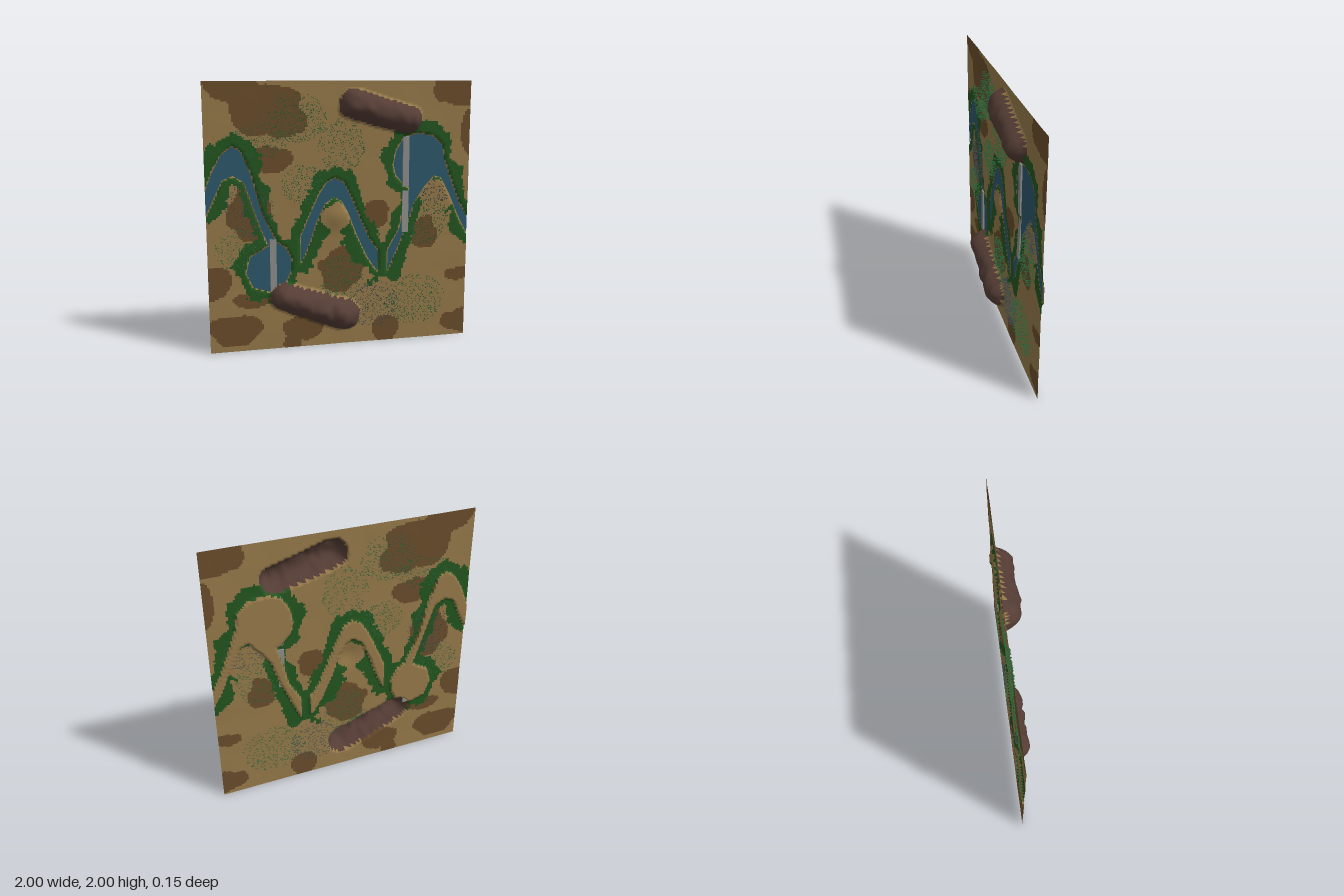
import * as THREE from 'three';
import { mergeGeometries } from 'three/addons/utils/BufferGeometryUtils.js';

const N = 140;            // terrain cells per side
const GROUND = -0.06, BED = -0.074, WATER = -0.063;

// River outlines (x, y), one smooth closed loop each
const rivers = [
  [[-1, 1.22], [-0.95, 1.35], [-0.88, 1.48], [-0.8, 1.54], [-0.74, 1.5], [-0.68, 1.35], [-0.6, 1.05], [-0.5, 0.83],
    [-0.43, 0.78], [-0.385, 0.7], [-0.39, 0.6], [-0.44, 0.5], [-0.55, 0.45], [-0.67, 0.49], [-0.72, 0.6], [-0.69, 0.72],
    [-0.55, 0.8], [-0.6, 0.92], [-0.66, 1.1], [-0.72, 1.28], [-0.8, 1.33], [-0.88, 1.3], [-0.95, 1.15], [-1, 1.05]],
  [[-0.31, 0.86], [-0.25, 1], [-0.17, 1.17], [-0.11, 1.26], [-0.05, 1.29], [0.02, 1.25], [0.08, 1.12], [0.14, 0.98],
    [0.21, 0.82], [0.28, 0.72], [0.28, 0.56], [0.2, 0.68], [0.12, 0.85], [0.05, 1.03], [0, 1.12], [-0.06, 1.15],
    [-0.13, 1.1], [-0.2, 0.95], [-0.25, 0.8], [-0.31, 0.66]],
  [[0.36, 0.56], [0.36, 0.72], [0.45, 0.88], [0.5, 1.1], [0.53, 1.2], [0.48, 1.23], [0.42, 1.3], [0.4, 1.38], [0.42, 1.48],
    [0.48, 1.58], [0.58, 1.61], [0.7, 1.59], [0.78, 1.52], [0.8, 1.4], [0.86, 1.24], [0.93, 1.07], [1, 0.95], [1, 0.83],
    [0.92, 0.98], [0.85, 1.14], [0.78, 1.27], [0.72, 1.29], [0.64, 1.2], [0.56, 1.08], [0.51, 0.92], [0.46, 0.8]],
];
// Rock ridges: two ends, radius at each end, height
const ridges = [
  { a: [0.09, 1.835], b: [0.5, 1.715], ra: 0.11, rb: 0.108, h: 0.125 },
  { a: [-0.44, 0.405], b: [0.02, 0.235], ra: 0.105, rb: 0.12, h: 0.128 },
];
// Brown soil patches: x, y, half width, half height
const patches = [
  [-0.55, 1.77, 0.28, 0.19], [-0.8, 1.95, 0.2, 0.1], [0.9, 1.93, 0.17, 0.12], [0.98, 1.62, 0.06, 0.15], [-0.55, 1.44, 0.18, 0.1],
  [-0.7, 1.05, 0.16, 0.2], [0.27, 1.02, 0.1, 0.1], [0, 0.6, 0.16, 0.2], [-0.95, 0.53, 0.13, 0.12], [-0.82, 0.17, 0.2, 0.12],
  [-0.7, 0.4, 0.16, 0.06], [-0.3, 0.15, 0.14, 0.1], [-0.38, 0.02, 0.07, 0.1], [0.35, 0.1, 0.1, 0.1], [0.95, 0.12, 0.13, 0.1],
  [0.65, 0.85, 0.12, 0.13], [0.92, 0.5, 0.1, 0.06],
];
// Tree clusters: x, y, half width, half height, count, colour
const groves = [
  [-0.33, 1.74, 0.22, 0.18, 420, 0], [-0.6, 1.58, 0.2, 0.13, 240, 0], [0, 1.53, 0.18, 0.2, 300, 0], [-0.28, 1.25, 0.17, 0.15, 260, 0],
  [-0.68, 1.08, 0.18, 0.22, 300, 1], [-0.77, 0.78, 0.18, 0.16, 220, 0], [0, 0.52, 0.17, 0.18, 330, 0], [0.25, 0.3, 0.2, 0.19, 350, 1],
  [0.58, 0.32, 0.25, 0.2, 380, 0], [0.64, 0.95, 0.2, 0.2, 330, 0], [0.76, 1.2, 0.16, 0.12, 200, 1],
];

const loops = rivers.map(r => r.map(p => new THREE.Vector2(...p)));

let seed = 7;
const random = () => (seed = (seed * 16807) % 2147483647) / 2147483647;
const hash = (i, j) => { const s = Math.sin(i * 127.1 + j * 311.7) * 43758.5453; return s - Math.floor(s); };

// Smooth value noise, -1 to 1
function noise(x, y) {
  const i = Math.floor(x), j = Math.floor(y);
  const ease = t => t * t * (3 - 2 * t), u = ease(x - i), v = ease(y - j), mix = THREE.MathUtils.lerp;
  return mix(mix(hash(i, j), hash(i + 1, j), u), mix(hash(i, j + 1), hash(i + 1, j + 1), u), v) * 2 - 1;
}

// Position along a segment and distance from it
function toSegment(x, y, ax, ay, bx, by) {
  const dx = bx - ax, dy = by - ay;
  const t = THREE.MathUtils.clamp(((x - ax) * dx + (y - ay) * dy) / (dx * dx + dy * dy), 0, 1);
  return { t, d: Math.hypot(x - ax - dx * t, y - ay - dy * t) };
}

// Signed distance to the rivers, negative in the water
function riverDistance(x, y) {
  let best = 9, inside = false;
  for (const loop of loops) {
    loop.forEach((p, i) => {
      const q = loop[(i + 1) % loop.length];
      best = Math.min(best, toSegment(x, y, p.x, p.y, q.x, q.y).d);
      if ((p.y > y) !== (q.y > y) && x < (q.x - p.x) * (y - p.y) / (q.y - p.y) + p.x) inside = !inside;
    });
  }
  return inside ? -best : best;
}

function ridgeHeight(x, y) {
  let h = 0;
  for (const { a, b, ra, rb, h: top } of ridges) {
    const { t, d } = toSegment(x, y, ...a, ...b);
    const r = THREE.MathUtils.lerp(ra, rb, t) * (1 + 0.06 * noise(x * 18, y * 18));
    if (d < r) h = Math.max(h, top * Math.pow(1 - (d / r) ** 2, 0.6) * (0.95 + 0.1 * noise(x * 22 + 9, y * 14)));
  }
  return h;
}

function height(x, y) {
  const rock = ridgeHeight(x, y);
  if (rock > 0) return GROUND + rock;
  if (riverDistance(x, y) < 0.006) return BED;
  const knoll = 0.02 * Math.exp(-((x + 0.03) ** 2 + (y - 1) ** 2) / 0.008);
  return GROUND + knoll + 0.002 * noise(x * 6, y * 6);
}

const inPatch = (x, y, [cx, cy, w, h]) =>
  ((x - cx) / w) ** 2 + ((y - cy) / h) ** 2 < 1 + 0.45 * noise(x * 11, y * 11);

function surfaceAt(x, y) {
  if (ridgeHeight(x, y) > 0.004) return 'rockRidges';
  const d = riverDistance(x, y);
  if (d < 0) return 'sand';
  const underArch = inPatch(x, y, [-0.04, 1, 0.11, 0.13]) || inPatch(x, y, [0.75, 1.13, 0.14, 0.13]);
  if (!underArch && d > 0.008 && d < 0.085 + 0.05 * noise(x * 9 + 4, y * 9) + 0.02 * noise(x * 40, y * 40)) return 'grassBanks';
  return patches.some(p => inPatch(x, y, p)) ? 'brownSoil' : 'sand';
}

const paint = (color, side = THREE.FrontSide) => new THREE.MeshStandardMaterial({ color, side });

// One height field, split into a mesh per ground colour with shared normals
function buildTerrain() {
  const colors = { sand: 0x967a4a, brownSoil: 0x6a4d2b, grassBanks: 0x23551f, rockRidges: 0x553d35 };
  const faces = { sand: [], brownSoil: [], grassBanks: [], rockRidges: [] };
  const positions = [], all = [], step = 2 / N;
  for (let j = 0; j <= N; j++) for (let i = 0; i <= N; i++) {
    const x = -1 + i * step, y = j * step;
    positions.push(x, y, height(x, y));
  }
  for (let j = 0; j < N; j++) for (let i = 0; i < N; i++) {
    const a = j * (N + 1) + i, c = a + N + 1;
    const quad = [a, a + 1, c + 1, a, c + 1, c];
    faces[surfaceAt(-1 + (i + 0.5) * step, (j + 0.5) * step)].push(...quad);
    all.push(...quad);
  }
  const base = new THREE.BufferGeometry();
  base.setAttribute('position', new THREE.Float32BufferAttribute(positions, 3));
  base.setIndex(all);
  base.computeVertexNormals();
  const terrain = new THREE.Group();
  terrain.name = 'terrain';
  for (const name in faces) {
    const geometry = base.clone().setIndex(faces[name]);
    const mesh = new THREE.Mesh(geometry, paint(colors[name], THREE.DoubleSide));
    mesh.name = name;
    terrain.add(mesh);
  }
  return terrain;
}

// Tiny four-sided cones pointing out of the ground
function buildTrees() {
  const cone = new THREE.ConeGeometry(0.0055, 0.018, 4, 1, true).rotateX(Math.PI / 2);
  const kinds = [[], []];
  for (const [cx, cy, w, h, count, kind] of groves) {
    for (let i = 0; i < count; i++) {
      const a = random() * Math.PI * 2, r = Math.sqrt(random());
      const x = cx + Math.cos(a) * r * w, y = cy + Math.sin(a) * r * h;
      if (riverDistance(x, y) < 0.012 || ridgeHeight(x, y) > 0) continue;
      kinds[kind].push(cone.clone().translate(x, y, height(x, y) + 0.006));
    }
  }
  return kinds.map((list, k) => {
    const mesh = new THREE.Mesh(mergeGeometries(list), paint([0x2c6a3a, 0x3d4d52][k], THREE.DoubleSide));
    mesh.name = ['greenTrees', 'darkTrees'][k];
    return mesh;
  });
}

export function createModel() {
  const model = new THREE.Group();
  model.name = 'terrainMap';
  model.add(buildTerrain(), ...buildTrees());

  // Flat water surfaces lying in the channels
  const water = new THREE.Mesh(new THREE.ShapeGeometry(loops.map(l => new THREE.Shape(l))), paint(0x2e586c));
  water.name = 'riverWater';
  water.position.z = WATER;
  model.add(water);

  // Bridges: x, bottom, top, tilt
  for (const [x, y0, y1, tilt] of [[-0.52, 0.45, 0.85, 0], [0.495, 1.21, 1.59, 0], [0.495, 0.86, 1.18, -0.04]]) {
    const bridge = new THREE.Mesh(new THREE.BoxGeometry(0.048, y1 - y0, 0.012), paint(0x8f8f8c));
    bridge.name = 'bridge';
    bridge.position.set(x, (y0 + y1) / 2, tilt ? -0.06 : -0.058);
    bridge.rotation.x = tilt;
    model.add(bridge);
  }
  return model;
}
